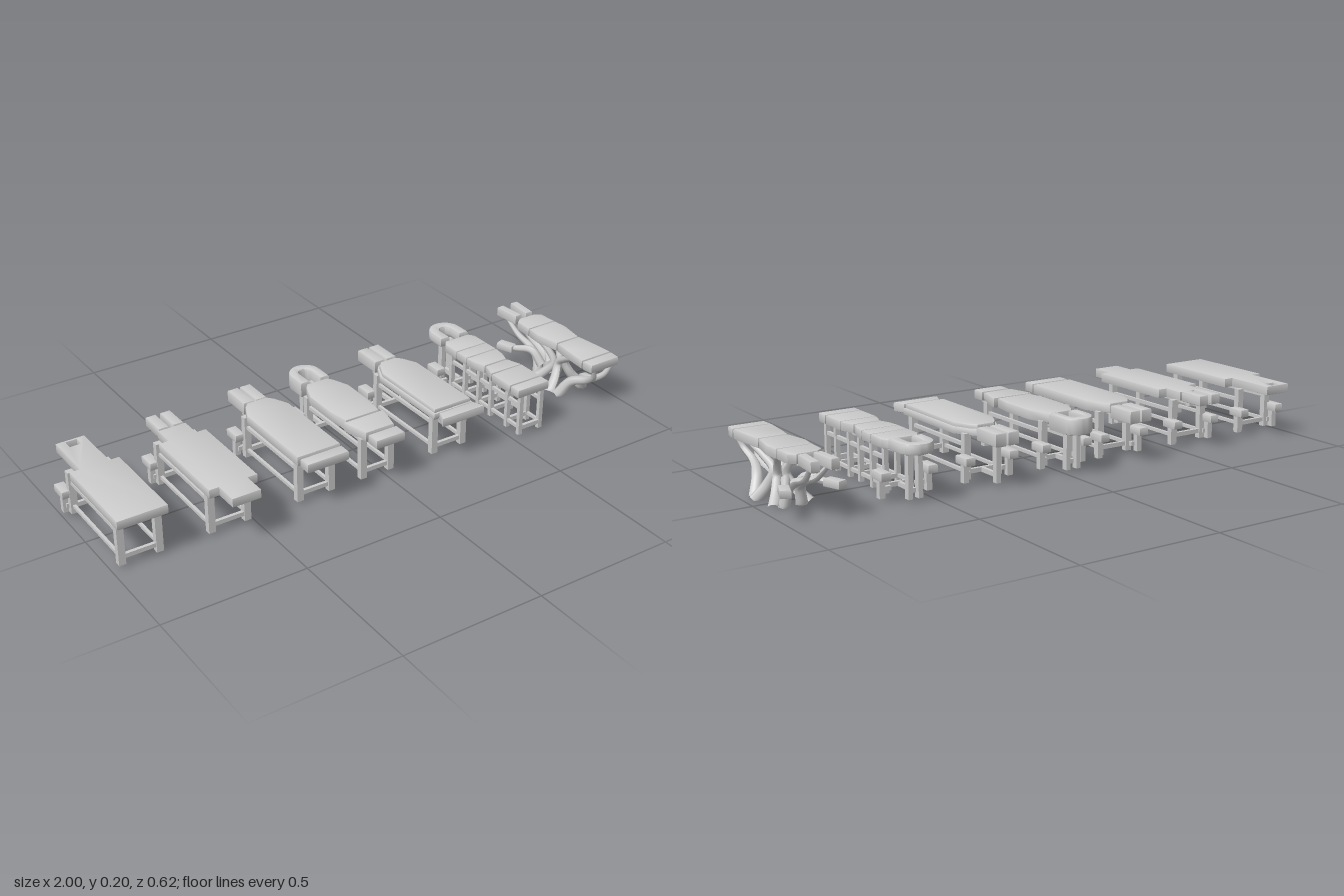
import * as THREE from 'three';
import { toCreasedNormals } from 'three/addons/utils/BufferGeometryUtils.js';

const material = new THREE.MeshStandardMaterial({ color: 0xcccccc });
const SIDES = [-1, 1];

function add(parent, geometry, name) {
  const mesh = new THREE.Mesh(geometry, material);
  mesh.name = name;
  parent.add(mesh);
  return mesh;
}

// box given by its centre x and z, and its y range
function box(parent, name, x, z, w, d, y0, y1) {
  add(parent, new THREE.BoxGeometry(w, y1 - y0, d), name).position.set(x, (y0 + y1) / 2, z);
}

// extrude a plan (x, z) downwards from the height y1 to y0
function slab(parent, name, shape, y0, y1, bevel = 0.003) {
  const g = new THREE.ExtrudeGeometry(shape, {
    depth: y1 - y0 - 2 * bevel, bevelEnabled: bevel > 0, bevelThickness: bevel,
    bevelSize: bevel, bevelOffset: -bevel, bevelSegments: 2, curveSegments: 10,
  });
  g.rotateX(Math.PI / 2).translate(0, y1 - bevel, 0);
  add(parent, toCreasedNormals(g, 0.6), name);
}

// symmetrical plan from [half width, z] pairs
function plan(points) {
  const left = points.map(([x, z]) => new THREE.Vector2(x, z));
  const right = points.map(([x, z]) => new THREE.Vector2(-x, z)).reverse();
  return new THREE.Shape([...left, ...right]);
}

function rect(x0, x1, z0, z1) {
  return new THREE.Shape([[x0, z0], [x1, z0], [x1, z1], [x0, z1]].map(p => new THREE.Vector2(...p)));
}

// horseshoe face cushion, open towards the table
function faceRing(parent, w, z0, z1, y0, y1) {
  const s = new THREE.Shape(), inner = 0.022;
  s.moveTo(-w, z1);
  s.lineTo(-w, z0 + w);
  s.absarc(0, z0 + w, w, Math.PI, Math.PI * 2, false);
  s.lineTo(w, z1);
  s.lineTo(inner, z1);
  s.lineTo(inner, z0 + w);
  s.absarc(0, z0 + w, inner, 0, -Math.PI, true);
  s.lineTo(-inner, z1);
  slab(parent, 'faceRing', s, y0, y1, 0.008);
}

function headBars(parent, x0, x1, z0, z1, y0, y1) {
  for (const s of SIDES) slab(parent, 'headBar', rect(s < 0 ? -x1 : x0, s < 0 ? -x0 : x1, z0, z1), y0, y1, 0.005);
  box(parent, 'headBarSupport', 0, z1 - 0.02, x1 * 1.6, 0.02, y0 - 0.012, y0 + 0.005);
  box(parent, 'headBracket', 0, z1 + 0.005, 0.03, 0.07, y0 - 0.01, y0 + 0.01);
}

// leg pairs joined by cross bars and long rails
function frame(parent, x, zs, size = 0.024) {
  for (const z of zs) {
    for (const s of SIDES) box(parent, 'leg', s * x, z, size, size * 0.9, 0.012, 0.165);
    box(parent, 'crossBar', 0, z, 2 * x, 0.012, 0.03, 0.045);
  }
  const a = Math.min(...zs), b = Math.max(...zs);
  for (const s of SIDES) {
    box(parent, 'lowerRail', s * x, (a + b) / 2, 0.01, b - a, 0.033, 0.044);
    box(parent, 'upperRail', s * x, (a + b) / 2, 0.01, b - a, 0.12, 0.132);
  }
}

function armRests(parent, legX) {
  for (const s of SIDES) {
    const x0 = s < 0 ? -0.1 : 0.066, x1 = s < 0 ? -0.066 : 0.1;
    slab(parent, 'armRest', rect(x0, x1, -0.215, -0.152), 0.072, 0.1);
    box(parent, 'armRestPost', s * 0.084, -0.18, 0.02, 0.02, 0.012, 0.075);
    box(parent, 'armRestBar', s * (legX + 0.084) / 2, -0.17, 0.084 - legX, 0.012, 0.03, 0.045);
  }
}

function headPost(parent, x) {
  for (const s of x ? SIDES : [1]) box(parent, 'headPost', s * x, -0.238, 0.016, 0.022, 0.012, 0.16);
  box(parent, 'headPostBar', 0, -0.195, 0.012, 0.09, 0.03, 0.045);
}

function tube(parent, name, points, r0, r1) {
  const curve = new THREE.CatmullRomCurve3(points.map(p => new THREE.Vector3(...p)));
  const n = 24, m = 7, g = new THREE.TubeGeometry(curve, n, 1, m);
  const p = g.attributes.position, v = new THREE.Vector3();
  // taper the tube along its length
  for (let i = 0; i < p.count; i++) {
    const t = Math.floor(i / (m + 1)) / n, c = curve.getPointAt(t);
    v.fromBufferAttribute(p, i).sub(c).multiplyScalar(r0 + (r1 - r0) * t).add(c);
    p.setXYZ(i, v.x, Math.max(0, v.y), v.z);
  }
  g.computeVertexNormals();
  add(parent, g, name);
}

const tapered = [[0.037, -0.18], [0.055, -0.16], [0.08, -0.105], [0.08, 0.21]];

function plainTable(t) {
  const s = plan([[0.05, -0.29], [0.05, -0.107], [0.085, -0.107], [0.085, 0.223]]);
  s.holes.push(new THREE.Path(rect(-0.02, 0.02, -0.282, -0.248).getPoints().reverse()));
  slab(t, 'top', s, 0.163, 0.194, 0.001);
  frame(t, 0.064, [-0.16, 0.18]);
  armRests(t, 0.064);
}

function steppedTable(t) {
  slab(t, 'top', plan([[0.05, -0.18], [0.05, -0.107], [0.085, -0.107], [0.085, 0.223],
    [0.05, 0.223], [0.05, 0.305], ]), 0.163, 0.194, 0.001);
  headBars(t, 0.008, 0.045, -0.28, -0.185, 0.16, 0.197);
  frame(t, 0.064, [-0.16, 0.18]);
  armRests(t, 0.064);
}

function taperedTable(t) {
  slab(t, 'top', plan(tapered), 0.16, 0.194);
  slab(t, 'footPad', rect(-0.077, 0.077, 0.222, 0.266), 0.16, 0.194, 0.005);
  box(t, 'footSupport', 0, 0.215, 0.09, 0.07, 0.155, 0.165);
  headBars(t, 0.004, 0.044, -0.3, -0.19, 0.145, 0.19);
  frame(t, 0.06, [-0.15, 0.18]);
  armRests(t, 0.06);
}

function ringTable(t) {
  slab(t, 'top', plan([[0.04, -0.18], [0.055, -0.16], [0.077, -0.1], [0.077, 0.03], [0.065, 0.1]]), 0.16, 0.194);
  slab(t, 'legSection', plan([[0.077, 0.108], [0.074, 0.13], [0.055, 0.203]]), 0.16, 0.194);
  slab(t, 'footPad', rect(-0.055, 0.055, 0.217, 0.266), 0.16, 0.194, 0.005);
  box(t, 'underFrame', 0, 0.12, 0.08, 0.24, 0.152, 0.163);
  faceRing(t, 0.057, -0.312, -0.19, 0.14, 0.198);
  frame(t, 0.054, [-0.15, 0.18]);
  headPost(t, 0.02);
  armRests(t, 0.054);
}

function rimmedTable(t) {
  slab(t, 'rim', plan(tapered), 0.157, 0.18);
  slab(t, 'top', plan(tapered.map(([x, z]) => [x - 0.006, z * 0.97])), 0.17, 0.194, 0.004);
  slab(t, 'footPad', plan([[0.07, 0.224], [0.086, 0.266]]), 0.157, 0.19, 0.005);
  box(t, 'footSupport', 0, 0.215, 0.09, 0.07, 0.153, 0.163);
  headBars(t, 0.004, 0.044, -0.3, -0.19, 0.145, 0.19);
  frame(t, 0.06, [-0.15, 0.18]);
  headPost(t, 0);
  armRests(t, 0.06);
}

function segmentedTable(t) {
  const sections = [
    [[0.05, -0.176], [0.066, -0.155], [0.066, -0.09]], [[0.066, -0.087], [0.066, -0.032]],
    [[0.066, -0.029], [0.062, 0.01], [0.048, 0.05]], [[0.048, 0.055], [0.066, 0.11]],
    [[0.066, 0.114], [0.066, 0.212]], [[0.066, 0.218], [0.066, 0.26]]];
  for (const s of sections) slab(t, 'section', plan(s), 0.162, 0.194, 0.004);
  box(t, 'underFrame', 0, 0.03, 0.08, 0.42, 0.154, 0.166);
  faceRing(t, 0.06, -0.305, -0.19, 0.163, 0.2);
  frame(t, 0.044, [-0.14, -0.06, 0.02, 0.09, 0.18, 0.248], 0.016);
  headPost(t, 0.018);
  armRests(t, 0.044);
}

function treeTable(t) {
  const sections = [
    [[0.035, -0.172], [0.057, -0.155], [0.06, -0.088]], [[0.06, -0.084], [0.066, -0.03], [0.05, 0.058]],
    [[0.05, 0.063], [0.058, 0.12], [0.066, 0.212]], [[0.066, 0.218], [0.062, 0.26]]];
  for (const s of sections) slab(t, 'section', plan(s), 0.16, 0.194, 0.005);
  box(t, 'underFrame', 0, 0.04, 0.06, 0.42, 0.155, 0.165);
  for (const s of SIDES) {
    // splayed head bars
    const bar = new THREE.Group();
    bar.name = 'headBarHolder';
    slab(bar, 'headBar', rect(-0.014, 0.014, -0.05, 0.05), 0.16, 0.197, 0.005);
    bar.position.set(s * 0.029, 0, -0.24);
    bar.rotation.y = -s * 0.08;
    t.add(bar);
    // arm rests on branches
    const arm = new THREE.Group();
    arm.name = 'armRestHolder';
    slab(arm, 'armRest', rect(-0.017, 0.017, -0.032, 0.032), 0.074, 0.1);
    arm.position.set(s * 0.083, 0, -0.182);
    arm.rotation.y = -s * 0.35;
    t.add(arm);
    tube(t, 'armBranch', [[s * 0.02, 0.05, -0.05], [s * 0.035, 0.095, -0.09], [s * 0.065, 0.088, -0.15], [s * 0.083, 0.085, -0.19]], 0.018, 0.01);
    // branches from the spreading roots up to the top
    tube(t, 'footBranch', [[s * 0.055, 0, 0.09], [s * 0.03, 0.06, 0.125], [s * 0.012, 0.09, 0.19], [s * 0.025, 0.125, 0.235], [s * 0.04, 0.165, 0.25]], 0.022, 0.008);
    tube(t, 'middleBranch', [[s * 0.072, 0, 0.06], [s * 0.035, 0.045, 0.045], [s * 0.015, 0.095, 0.035], [s * 0.025, 0.13, 0.08], [s * 0.045, 0.165, 0.14]], 0.02, 0.009);
    tube(t, 'backBranch', [[s * 0.06, 0, -0.055], [s * 0.035, 0.035, -0.02], [s * 0.015, 0.085, 0.01], [s * 0.025, 0.13, -0.015], [s * 0.045, 0.165, -0.06]], 0.02, 0.009);
    tube(t, 'headBranch', [[s * 0.03, 0, -0.06], [s * 0.02, 0.06, -0.075], [s * 0.015, 0.09, -0.12], [s * 0.02, 0.115, -0.19], [s * 0.03, 0.165, -0.25]], 0.02, 0.007);
  }
}

export function createModel() {
  const model = new THREE.Group();
  model.name = 'massageTables';
  const tables = [
    ['plainTable', -0.9, plainTable], ['steppedTable', -0.59, steppedTable],
    ['taperedTable', -0.27, taperedTable], ['ringTable', -0.03, ringTable],
    ['rimmedTable', 0.265, rimmedTable], ['segmentedTable', 0.57, segmentedTable],
    ['treeTable', 0.895, treeTable]];
  for (const [name, x, build] of tables) {
    const t = new THREE.Group();
    t.name = name;
    t.position.x = x;
    build(t);
    model.add(t);
  }
  return model;
}
